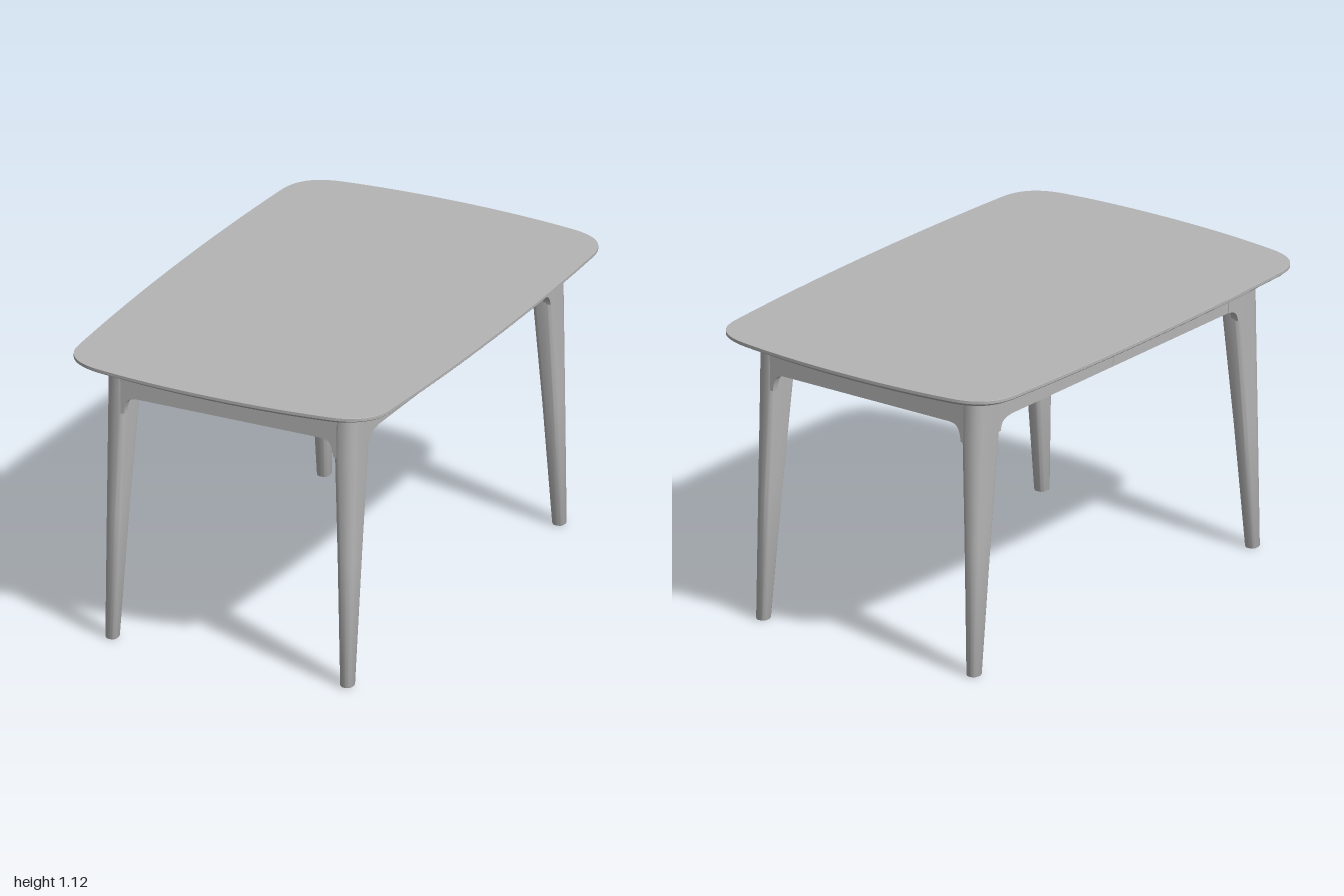
import * as THREE from 'three';
import { toCreasedNormals } from 'three/addons/utils/BufferGeometryUtils.js';

// Closed solid from stacked convex rings of [x, y, z], counterclockwise seen from above
function loft(rings, crease) {
  const n = rings[0].length, index = [];
  const pos = rings.flat(2);
  for (let r = 0; r < rings.length - 1; r++) {
    for (let i = 0; i < n; i++) {
      const a = r * n + i, b = r * n + (i + 1) % n;
      index.push(a, b, b + n, a, b + n, a + n);
    }
  }
  const top = (rings.length - 1) * n;
  for (let i = 1; i < n - 1; i++) {
    index.push(0, i + 1, i, top, top + i, top + i + 1);
  }
  const g = new THREE.BufferGeometry();
  g.setAttribute('position', new THREE.Float32BufferAttribute(pos, 3));
  g.setIndex(index);
  return toCreasedNormals(g, crease);
}

// Softly bulging rounded-rectangle outline of the tabletop
function topOutline() {
  const path = new THREE.Path();
  path.moveTo(0.665, 0);
  path.quadraticCurveTo(0.665, 0.42, 0.64, 0.81);
  path.bezierCurveTo(0.63, 0.9, 0.58, 0.95, 0.48, 0.967);
  path.quadraticCurveTo(0.26, 1, 0, 1);
  const q = path.getPoints(14).map(p => [p.x, p.y]);
  const r = [...q].reverse();
  const part = (list, sx, sz) => list.slice(0, -1).map(([x, z]) => [x * sx, z * sz]);
  return [...part(q, 1, 1), ...part(r, -1, 1), ...part(q, -1, -1), ...part(r, 1, -1)];
}

// Rounded leg section between inner and outer edges, with a larger outer corner
function legRing(y, xi, xo, zi, zo, rOuter, rInner, sx, sz) {
  const corners = [[xo, zo, 1, 1, rOuter, 0], [xi, zo, -1, 1, rInner, 1],
    [xi, zi, -1, -1, rInner, 2], [xo, zi, 1, -1, rInner, 3]];
  const ring = [];
  for (const [x, z, dx, dz, r, quarter] of corners) {
    for (let k = 0; k <= 6; k++) {
      const a = (quarter + k / 6) * Math.PI / 2;
      ring.push([sx * (x - dx * r + r * Math.cos(a)), y, sz * (z - dz * r + r * Math.sin(a))]);
    }
  }
  return sx * sz > 0 ? ring.reverse() : ring;
}

// Bracket that sweeps from the leg into the rail, mirrored by s
function wingGeometry(s, rail, leg, out, yLow, depth) {
  const shape = new THREE.Shape();
  shape.moveTo(s * rail, 1.08);
  shape.lineTo(s * out, 1.08);
  shape.lineTo(s * out, yLow);
  shape.lineTo(s * leg, yLow);
  shape.bezierCurveTo(s * (leg - 0.005), 0.95, s * (leg - 0.018), 0.966, s * rail, 0.967);
  shape.closePath();
  return toCreasedNormals(new THREE.ExtrudeGeometry(shape,
    { depth, bevelEnabled: false, curveSegments: 12 }), 0.6);
}

export function createModel() {
  const table = new THREE.Group();
  table.name = 'table';
  const grey = new THREE.MeshStandardMaterial({ color: 0xb4b4b4 });
  grey.name = 'grey';
  const add = (name, geometry, x = 0, y = 0, z = 0) => {
    const mesh = new THREE.Mesh(geometry, grey);
    mesh.name = name;
    mesh.position.set(x, y, z);
    table.add(mesh);
    return mesh;
  };

  // Tabletop: thin edge above an undercut bevel
  const outline = topOutline();
  const profile = [[1.075, 0.047], [1.084, 0.032], [1.099, 0.004], [1.103, 0], [1.114, 0], [1.115, 0.001]];
  add('tabletop', loft(profile.map(([y, d]) =>
    outline.map(([x, z]) => [x * (1 - d / 0.665), y, -z * (1 - d)])), 0.2));

  // Legs with the brackets that carry the rails
  const t = 0.03;
  for (const sx of [1, -1]) {
    for (const sz of [1, -1]) {
      const ring = (...a) => legRing(...a, sx, sz);
      add('leg', loft([
        ring(0, 0.462, 0.505, 0.812, 0.862, 0.02, 0.016),
        ring(0.006, 0.46, 0.507, 0.81, 0.864, 0.022, 0.017),
        ring(0.5, 0.445, 0.51, 0.759, 0.857, 0.036, 0.02),
        ring(0.92, 0.43, 0.512, 0.712, 0.851, 0.048, 0.022),
        ring(1.079, 0.43, 0.512, 0.712, 0.85, 0.05, 0.022)], 0.6));

      add('endBracket', wingGeometry(sx, 0.385, 0.431, 0.46, 0.9, t),
        0, 0, sz > 0 ? 0.849 - t : -0.849);
      const side = wingGeometry(-sz, 0.655, 0.713, 0.79, 0.92, t);
      side.rotateY(Math.PI / 2);
      add('sideBracket', side, sx > 0 ? 0.511 - t : -0.511);

      // Diagonal block bracing the inside of each corner
      const block = add('cornerBlock', new THREE.BoxGeometry(0.09, 0.07, 0.02), sx * 0.415, 1.035, sz * 0.745);
      block.rotation.y = sx * sz * Math.PI / 4;
    }
  }

  // Rails under the tabletop
  for (const s of [1, -1]) {
    add('endRail', new THREE.BoxGeometry(0.79, 0.112, 0.025), 0, 1.023, s * 0.834);
    add('sideRail', new THREE.BoxGeometry(0.022, 0.112, 1.32), s * 0.497, 1.023, 0);

    // Tapered joint at the middle of each side rail
    const joint = new THREE.Shape([[-0.038, 0.972], [0.038, 0.972], [0.012, 1.078], [-0.012, 1.078]]
      .map(([x, y]) => new THREE.Vector2(x, y)));
    const geometry = new THREE.ExtrudeGeometry(joint, { depth: 0.026, bevelEnabled: false });
    geometry.rotateY(Math.PI / 2);
    add('railJoint', geometry, s * 0.497 - 0.013);

    // Lower panel in two halves, closing the space between the side rails
    add('lowerPanel', new THREE.BoxGeometry(0.972, 0.012, 0.668), 0, 0.976, s * 0.336);
  }
  return table;
}
